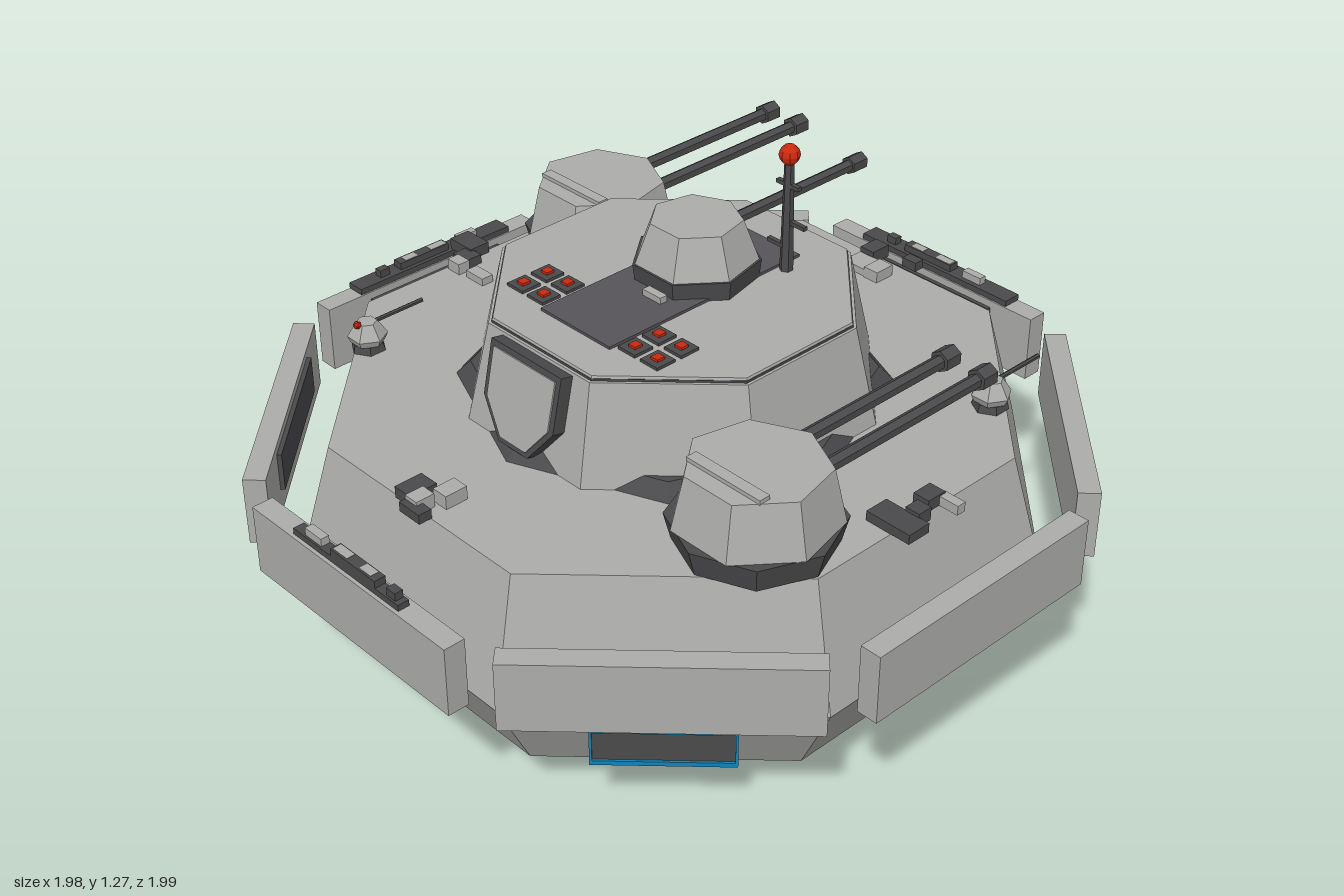
import * as THREE from 'three';

const mat = (name, color) => {
  const m = new THREE.MeshStandardMaterial({ color });
  m.name = name;
  return m;
};

export function createModel() {
  const light = mat('light grey armour', 0xacacaa);
  const dark = mat('dark grey metal', 0x4a4a4c);
  const base = mat('dark violet grey', 0x56535a);
  const blue = mat('blue glow', 0x1283b8);
  const red = mat('red lamp', 0xcc2a10);
  const root = new THREE.Group();
  const COS8 = Math.cos(Math.PI / 8);

  const add = (parent, name, geo, m, x = 0, y = 0, z = 0) => {
    const g = geo.index ? geo.toNonIndexed() : geo;
    g.computeVertexNormals(); // faceted look
    const mesh = new THREE.Mesh(g, m);
    mesh.name = name;
    mesh.position.set(x, y, z);
    parent.add(mesh);
    return mesh;
  };
  const box = (parent, name, m, w, h, d, x, y, z) =>
    add(parent, name, new THREE.BoxGeometry(w, h, d), m, x, y, z);
  // upright prism or frustum from y0 to y1
  const prism = (parent, name, m, sides, r0, r1, y0, y1, turn = 0, x = 0, z = 0) => {
    const g = new THREE.CylinderGeometry(r1, r0, y1 - y0, sides);
    g.rotateY(turn);
    return add(parent, name, g, m, x, (y0 + y1) / 2, z);
  };
  // octagon with flat sides to the front, given by apothems
  const octagon = (name, m, a0, a1, y0, y1) =>
    prism(root, name, m, 8, a0 / COS8, a1 / COS8, y0, y1, Math.PI / 8);
  const group = (name, x = 0, y = 0, z = 0, turn = 0) => {
    const g = new THREE.Group();
    g.name = name;
    g.position.set(x, y, z);
    g.rotation.y = turn;
    root.add(g);
    return g;
  };
  // gun barrel pointing to -z, from z0 to z1
  const barrel = (parent, x, y, z0, z1, r, muzzle) => {
    const rod = (name, rad, a, b) => {
      const g = new THREE.CylinderGeometry(rad, rad, Math.abs(a - b), 6);
      g.rotateX(Math.PI / 2);
      add(parent, name, g, dark, x, y, (a + b) / 2);
    };
    rod('barrel', r, z0, z1);
    if (muzzle) rod('muzzle', muzzle, z1 + 0.048, z1);
  };

  // hull and tower
  octagon('foot', base, 0.475, 0.365, 0, 0.125);
  octagon('lowerHull', light, 0.74, 0.87, 0.125, 0.37);
  octagon('upperHull', light, 0.87, 0.785, 0.37, 0.68);
  prism(root, 'towerCollar', dark, 8, 0.525, 0.49, 0.68, 0.715);
  octagon('tower', light, 0.475, 0.42, 0.68, 0.928);
  octagon('towerRim', dark, 0.413, 0.413, 0.928, 0.934);
  octagon('towerRoof', light, 0.412, 0.41, 0.934, 0.94);

  // ring of armour plates, and window slots on the diagonals
  for (let i = 0; i < 8; i++) {
    const g = group('armourPlate' + i, 0, 0, 0, (i * Math.PI) / 4);
    box(g, 'plate', light, 0.695, 0.18, 0.055, 0, 0.51, 0.96);
    if (![1, 2, 3].includes(i)) box(g, 'plateBacking', dark, 0.43, 0.1, 0.012, 0, 0.53, 0.927);
    if (i % 2) {
      box(g, 'windowCore', dark, 0.318, 0.09, 0.1, 0, 0.26, 0.8);
      for (const y of [0.214, 0.306])
        box(g, 'windowBar', blue, 0.328, 0.012, 0.11, 0, y, 0.801);
      for (const s of [-1, 1])
        box(g, 'windowPost', blue, 0.006, 0.1, 0.012, s * 0.161, 0.26, 0.85);
    } else if (i !== 2) {
      // fittings along the top edge
      const w = i === 0 ? 0.03 : 0.052;
      box(g, 'plateRail', dark, i === 0 ? 0.38 : 0.5, 0.016, w, -0.01, 0.608, 0.963);
      box(g, 'plateFitting', dark, 0.16, 0.034, 0.03, 0.02, 0.618, 0.963);
      [[-0.13, 0.06], [-0.03, 0.05], [0.06, 0.04], [0.15, 0.03]].forEach(([x, l]) =>
        box(g, 'plateFitting', x < 0.1 ? light : dark, l, 0.03, 0.022, x, 0.621, 0.962));
    }
  }

  // shield-shaped hatch on the sloping tower front
  const shield = (k, depth) => {
    const s = new THREE.Shape();
    [[-0.12, 0.12], [-0.12, -0.02], [-0.05, -0.11], [0.05, -0.11], [0.12, -0.02], [0.12, 0.12]]
      .forEach(([x, y], i) => (i ? s.lineTo(x * k, y * k) : s.moveTo(x * k, y * k)));
    return new THREE.ExtrudeGeometry(s, { depth, bevelEnabled: false });
  };
  const hatch = group('hatch', 0, 0.803, 0.446);
  hatch.rotation.x = -Math.atan2(0.055, 0.248);
  add(hatch, 'hatchFrame', shield(1, 0.036), dark);
  add(hatch, 'hatchPanel', shield(0.88, 0.04), light);

  // roof deck, control buttons and a small box
  box(root, 'roofDeck', base, 0.235, 0.008, 0.61, 0, 0.943, 0.005);
  box(root, 'roofBox', light, 0.06, 0.02, 0.022, 0.03, 0.953, 0.09);
  for (const x of [-0.23, -0.158, 0.155, 0.228])
    for (const z of [0.193, 0.266]) {
      box(root, 'buttonPlate', dark, 0.055, 0.009, 0.055, x, 0.943, z);
      box(root, 'button', red, 0.022, 0.008, 0.022, x, 0.95, z);
    }

  // top turret
  const top = group('topTurret', 0, 0, -0.07);
  prism(top, 'turretBase', dark, 7, 0.15, 0.156, 0.938, 0.988, Math.PI);
  prism(top, 'turretHead', light, 7, 0.15, 0.112, 0.988, 1.088, Math.PI);
  barrel(top, 0, 1.035, -0.08, -0.57, 0.016, 0.023);

  // twin-gun turrets
  for (const [x, z, tip] of [[-0.595, -0.3, -0.7], [0.595, 0.32, -0.7]]) {
    const t = group('twinTurret', x, 0, z);
    prism(t, 'turretBase', dark, 8, 0.185, 0.202, 0.68, 0.745);
    prism(t, 'turretHead', light, 7, 0.195, 0.165, 0.745, 0.88, Math.PI);
    box(t, 'turretRidge', light, 0.22, 0.012, 0.03, 0, 0.884, 0.09);
    for (const s of [-1, 1]) barrel(t, s * 0.055, 0.823, -0.1, tip, 0.018, 0.028);
  }

  // small sentry guns
  for (const [x, z] of [[-0.61, 0.455], [0.607, -0.45]]) {
    const s = group('sentryGun', x, 0, z);
    prism(s, 'sentryBase', dark, 6, 0.045, 0.04, 0.68, 0.7);
    prism(s, 'sentryBody', light, 6, 0.042, 0.05, 0.7, 0.718, Math.PI / 6);
    prism(s, 'sentryHead', light, 6, 0.05, 0.026, 0.718, 0.755, Math.PI / 6);
    barrel(s, 0, 0.746, 0, -0.17, 0.006);
    add(s, 'sentryLamp', new THREE.IcosahedronGeometry(0.011), red, 0, 0.755, 0.028);
  }

  // antenna mast
  const mast = group('antenna', 0.137, 0, -0.235);
  prism(mast, 'mast', dark, 6, 0.017, 0.012, 0.94, 1.23);
  box(mast, 'crossbar', dark, 0.07, 0.01, 0.012, 0, 1.165, 0);
  box(mast, 'crossbar', dark, 0.055, 0.01, 0.012, 0.03, 1.07, 0);
  box(mast, 'crossbar', dark, 0.06, 0.01, 0.012, -0.03, 1.0, 0);
  add(mast, 'beacon', new THREE.SphereGeometry(0.026, 8, 6), red, 0, 1.243, 0);

  // fittings on the hull deck: x, z, width, depth, height, material
  [
    [-0.057, -0.775, 0.045, 0.06, 0.035, dark], [0.045, -0.81, 0.045, 0.03, 0.025, dark],
    [-0.04, -0.715, 0.08, 0.065, 0.02, light], [0.015, -0.71, 0.045, 0.06, 0.03, light],
    [-0.035, 0.755, 0.055, 0.075, 0.03, dark], [0.03, 0.71, 0.045, 0.06, 0.035, light],
    [0.02, 0.8, 0.07, 0.035, 0.025, dark], [0.005, 0.775, 0.04, 0.05, 0.035, light],
    [-0.815, -0.03, 0.085, 0.06, 0.03, dark], [-0.77, 0.015, 0.055, 0.05, 0.025, dark],
    [-0.68, 0.047, 0.065, 0.035, 0.02, light], [-0.755, 0.055, 0.045, 0.035, 0.03, light],
    [0.775, 0.065, 0.125, 0.065, 0.025, dark], [0.765, -0.05, 0.045, 0.055, 0.03, dark],
    [0.81, -0.072, 0.06, 0.025, 0.025, light], [0.79, 0.015, 0.04, 0.04, 0.035, dark],
  ].forEach(([x, z, w, d, h, m]) => box(root, 'deckFitting', m, w, h, d, x, 0.68 + h / 2, z));

  return root;
}
